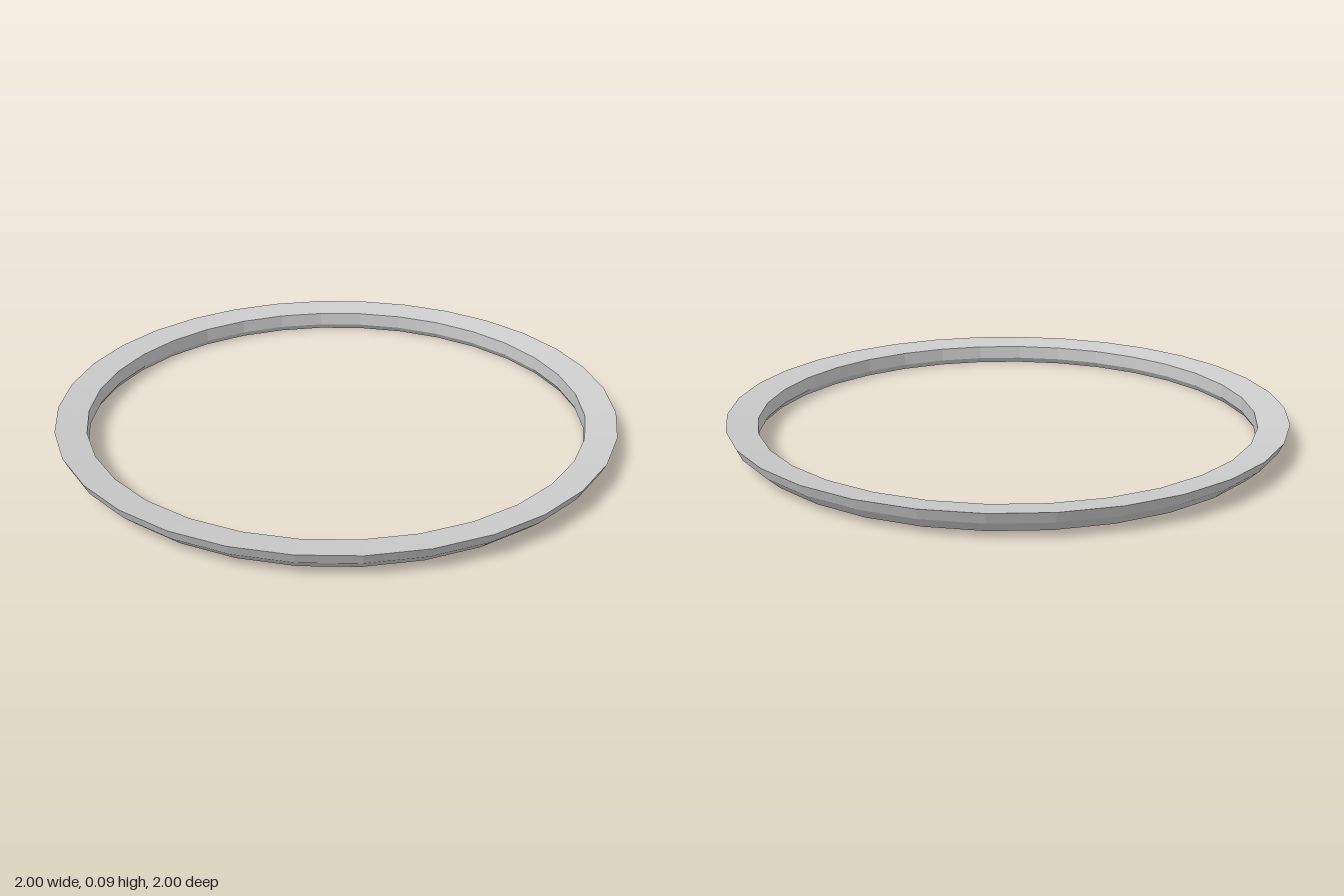
import * as THREE from 'three';

export function createModel() {
  const group = new THREE.Group();
  group.name = 'ring';

  // Closed cross-section (radius, height): curved outside, dished top, straight bore
  const profile = [
    [0.91, 0], [0.94, 0.013], [0.983, 0.055], [1, 0.093],
    [0.893, 0.075], [0.893, 0.023], [0.91, 0],
  ].map(([r, y]) => new THREE.Vector2(r, y));

  const material = new THREE.MeshStandardMaterial({ color: 0xcccccc, flatShading: true });
  const band = new THREE.Mesh(new THREE.LatheGeometry(profile, 32), material);
  band.name = 'ringBand';
  group.add(band);
  return group;
}
